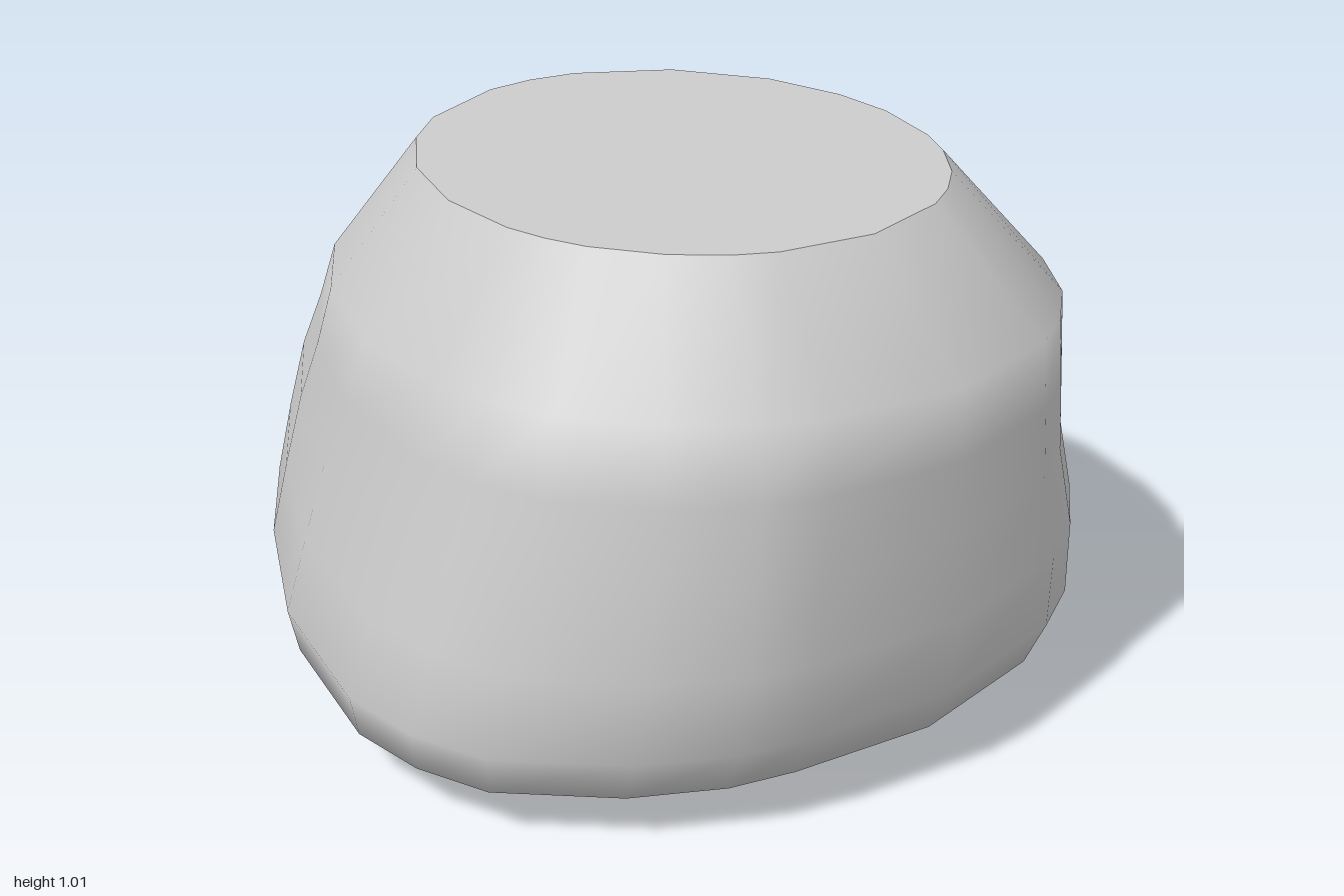
import * as THREE from 'three';

// Egg-shaped plan outline (x, z), starting at the back and running round the +x side
const OUTLINE = [
  [-0.04, -1], [0.28, -0.93], [0.53, -0.68], [0.66, -0.42], [0.74, -0.2], [0.78, 0.1],
  [0.77, 0.27], [0.72, 0.5], [0.63, 0.66], [0.53, 0.77], [0.25, 0.93], [-0.04, 0.99],
  [-0.17, 1], [-0.35, 0.97], [-0.57, 0.87], [-0.67, 0.75], [-0.74, 0.6], [-0.78, 0.25],
  [-0.74, -0.1], [-0.67, -0.4], [-0.58, -0.6], [-0.35, -0.88], [-0.2, -0.96],
];

// Ring sizes: height, right x, left x, back z, front z, roundness (0 = egg, 1 = ellipse)
const WALL = [
  [0.012, -0.4, 0.36, -0.45, 0.48, 0],
  [0.04, -0.64, 0.61, -0.75, 0.76, 0],
  [0.1, -0.76, 0.75, -0.95, 0.94, 0],
  [0.19, -0.78, 0.78, -1, 0.985, 0],
  [0.34, -0.745, 0.77, -0.975, 1, 0.1],
  [0.5, -0.71, 0.73, -0.88, 0.99, 0.25],
  [0.64, -0.68, 0.71, -0.72, 0.985, 0.45],
  [0.77, -0.655, 0.695, -0.59, 0.97, 0.65],
  [0.995, -0.485, 0.49, -0.34, 0.76, 0.9],
];

// The upper rim tilts slightly, rising towards the back
const rimHeight = (z) => 1.002 - 0.023 * z;

function ring([y, x0, x1, z0, z1, round]) {
  return OUTLINE.map(([px, pz]) => {
    const u = px / 0.78;
    const len = THREE.MathUtils.lerp(1, Math.hypot(u, pz), round);
    const x = (x0 + x1) / 2 + (u / len) * (x1 - x0) / 2;
    const z = (z0 + z1) / 2 + (pz / len) * (z1 - z0) / 2;
    return [x, y > 0.9 ? rimHeight(z) : y, z];
  });
}

// Join rings from bottom to top with shared vertices for smooth shading
function loft(rings) {
  const n = OUTLINE.length;
  const index = [];
  for (let j = 0; j < rings.length - 1; j++) {
    for (let i = 0; i < n; i++) {
      const a = j * n + i, b = j * n + (i + 1) % n;
      index.push(a, a + n, b, b, a + n, b + n);
    }
  }
  return toGeometry(rings.flat(), index);
}

// Fan from a centre point to one ring, facing up or down
function cap(points, centre, up) {
  const n = points.length;
  const index = [];
  for (let i = 0; i < n; i++) {
    const k = (i + 1) % n;
    index.push(n, up ? k : i, up ? i : k);
  }
  return toGeometry([...points, centre], index);
}

function toGeometry(points, index) {
  const geometry = new THREE.BufferGeometry();
  geometry.setAttribute('position', new THREE.Float32BufferAttribute(points.flat(), 3));
  geometry.setIndex(index);
  geometry.computeVertexNormals();
  return geometry;
}

export function createModel() {
  const group = new THREE.Group();
  group.name = 'roundedBody';
  const material = new THREE.MeshStandardMaterial({ color: 0xcccccc, side: THREE.DoubleSide });
  const add = (name, geometry) => {
    const mesh = new THREE.Mesh(geometry, material);
    mesh.name = name;
    group.add(mesh);
  };

  const rings = WALL.map(ring);
  // Bulging wall with a long sloping back and a bevelled shoulder
  add('wall', loft(rings));
  // Nearly flat top
  add('top', cap(rings[rings.length - 1], [-0.05, rimHeight(0.22), 0.22], true));
  // Shallow rounded underside
  add('underside', cap(rings[0], [0, 0, 0], false));
  return group;
}
